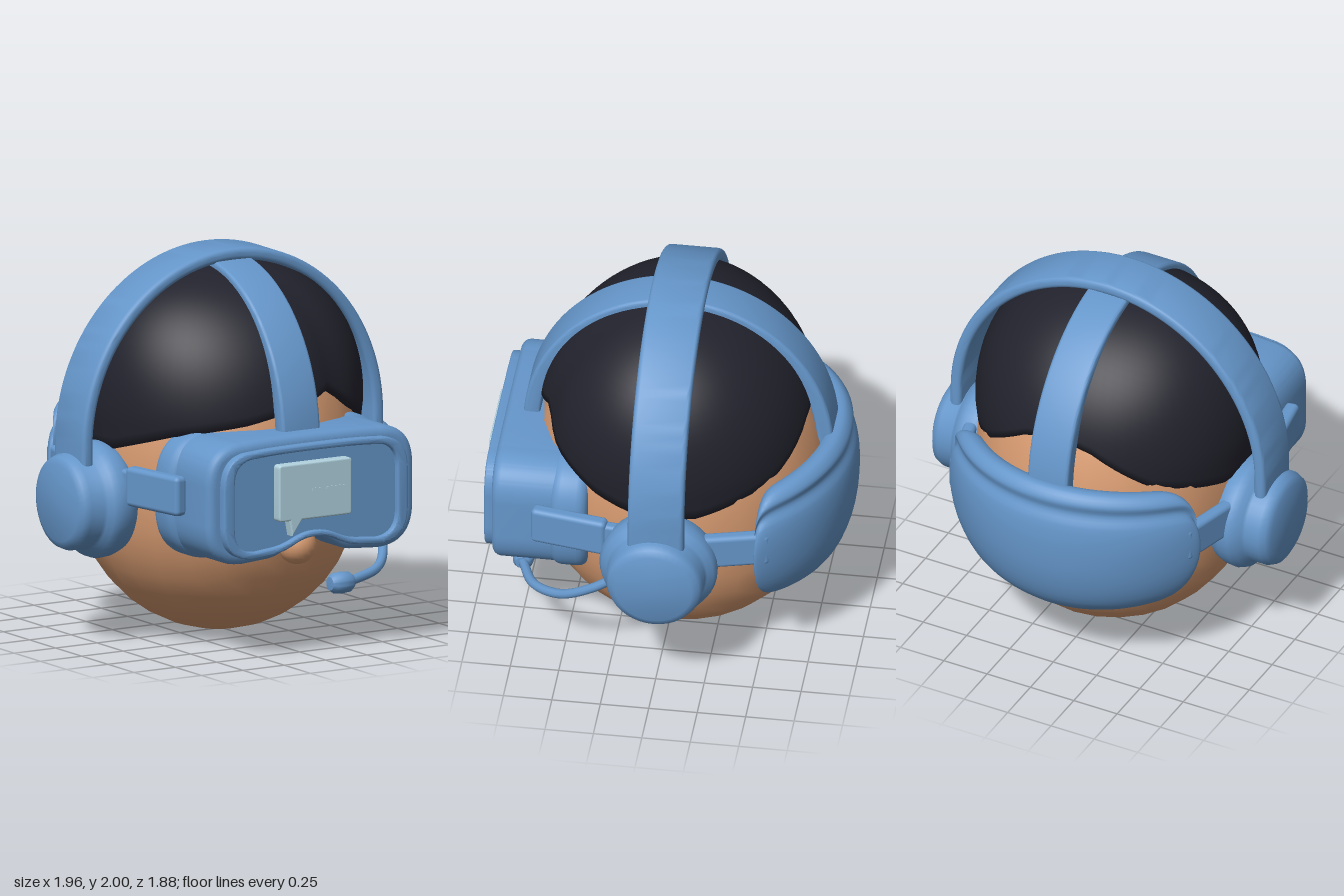
import * as THREE from 'three';
import { toCreasedNormals } from 'three/addons/utils/BufferGeometryUtils.js';
import { RoundedBoxGeometry } from 'three/addons/geometries/RoundedBoxGeometry.js';
import { ParametricGeometry } from 'three/addons/geometries/ParametricGeometry.js';

const makeMaterial = (name, color) => {
  const m = new THREE.MeshStandardMaterial({ color });
  m.name = name;
  return m;
};

// Bevelled slab whose outline stays at the shape's own size, from z0 to z1
function slab(shape, z0, z1, bevel, crease = 0.7) {
  const g = new THREE.ExtrudeGeometry(shape, {
    depth: z1 - z0 - 2 * bevel, bevelThickness: bevel, bevelSize: bevel,
    bevelOffset: -bevel, bevelSegments: 4, curveSegments: 32,
  });
  g.translate(0, 0, z0 + bevel);
  return toCreasedNormals(g, crease);
}

// Elliptic arch with straight legs, for the head bands
function archShape(rx, top, cy, foot, thick) {
  const s = new THREE.Shape();
  s.moveTo(rx, foot);
  s.lineTo(rx, cy);
  s.absellipse(0, cy, rx, top - cy, 0, Math.PI, false);
  s.lineTo(-rx, foot);
  s.lineTo(-rx + thick, foot);
  s.lineTo(-rx + thick, cy);
  s.absellipse(0, cy, rx - thick, top - cy - thick, Math.PI, 0, true);
  s.lineTo(rx - thick, foot);
  return s;
}

// Goggle outline: rounded box with a nose notch in the lower edge
function goggleOutline(s, w, top, bot, notch, r) {
  s.moveTo(0, top + 0.01);
  s.quadraticCurveTo(-w / 2, top + 0.01, -w + r, top);
  s.quadraticCurveTo(-w, top, -w, top - r);
  s.lineTo(-w, bot + r);
  s.quadraticCurveTo(-w, bot, -w + r, bot);
  s.lineTo(-0.26, bot + 0.01);
  s.bezierCurveTo(-0.14, bot + 0.02, -0.12, bot + notch, 0, bot + notch);
  s.bezierCurveTo(0.12, bot + notch, 0.14, bot + 0.02, 0.26, bot + 0.01);
  s.lineTo(w - r, bot);
  s.quadraticCurveTo(w, bot, w, bot + r);
  s.lineTo(w, top - r);
  s.quadraticCurveTo(w, top, w - r, top);
  s.quadraticCurveTo(w / 2, top + 0.01, 0, top + 0.01);
  return s;
}

// Head: round below the middle, taller and a little fuller above it
function headGeometry() {
  const g = new THREE.SphereGeometry(1, 24, 18);
  const p = g.attributes.position;
  for (let i = 0; i < p.count; i++) {
    const y = p.getY(i);
    const full = y > 0 ? 1 + 0.045 * Math.sin(Math.PI * y) : 1;
    p.setXYZ(i, p.getX(i) * 0.72 * full, 0.74 + y * (y > 0 ? 1.13 : 0.735), p.getZ(i) * 0.75 * full - 0.04);
  }
  g.computeVertexNormals();
  return g;
}

// Height of the hairline by azimuth in degrees, from the front towards +x
const HAIRLINE = [[-180, 1.4], [-165, 1.34], [-140, 1.14], [-105, 1.02], [-80, 1.03], [-50, 1.13],
  [-20, 1.19], [0, 1.25], [20, 1.33], [38, 1.2], [60, 1.08], [80, 1.02], [105, 1.02],
  [140, 1.14], [165, 1.34], [180, 1.4]];
function hairline(deg) {
  for (let i = 1; i < HAIRLINE.length; i++) {
    const [a, ya] = HAIRLINE[i - 1], [b, yb] = HAIRLINE[i];
    if (deg <= b) return ya + (yb - ya) * (deg - a) / (b - a);
  }
  return 1.4;
}

function hairGeometry() {
  const g = new ParametricGeometry((u, v, p) => {
    const deg = -180 + 360 * u, phi = deg * Math.PI / 180;
    const edge = hairline(deg);
    // first row tucks in under the rim, the rest climbs to the crown
    const t = Math.max(0, (v * 25 - 1) / 24);
    const y = edge + (1.925 - edge) * Math.sin(t * Math.PI / 2);
    const h = Math.min(1, Math.max(0, (y - 1.2) / 0.725));
    // fuller towards the sides than front to back
    const round = (n) => Math.pow(Math.max(0, 1 - Math.pow(h, n)), 1 / n);
    let k = 1 - 0.15 * Math.max(0, 1.2 - y);
    k *= 1 - 0.03 * Math.exp(-(((deg - 24) / 8) ** 2));
    if (v < 0.02) k *= 0.88;
    p.set(0.745 * k * round(2.35) * Math.sin(phi), y, 0.715 * k * round(2.05) * Math.cos(phi) - 0.02);
  }, 72, 25);
  g.computeVertexNormals();
  return g;
}

// Curved pad: a closed section (radius, height) swept round the back of the head
function rearPadGeometry() {
  const section = new THREE.CatmullRomCurve3([
    [0.69, 1.17], [0.76, 1.19], [0.805, 1.14], [0.795, 1.08], [0.825, 1.01], [0.838, 0.85],
    [0.81, 0.62], [0.74, 0.46], [0.62, 0.37], [0.58, 0.45], [0.66, 0.8],
  ].map(([r, y]) => new THREE.Vector3(r, y, 0)), true, 'centripetal');
  const q = new THREE.Vector3();
  const g = new ParametricGeometry((u, v, p) => {
    const e = Math.sin((u - 0.5) * Math.PI);
    const k = Math.pow(Math.max(0, 1 - Math.pow(Math.abs(e), 22)), 0.25);
    section.getPoint(v % 1, q);
    const r = 0.81 + (q.x - 0.81) * k;
    const y = 0.78 + (q.y - 0.78) * k * (1 - 0.12 * e * e);
    // both ends finish on one plane across the head
    const th = e * Math.acos(0.4 / r);
    p.set(r * Math.sin(th), y, -0.1 - r * Math.cos(th));
  }, 56, 44);
  g.computeVertexNormals();
  return g;
}

// Part lathed round the x axis from (radius, x) points
function latheX(points) {
  const g = new THREE.LatheGeometry(points.map(([r, h]) => new THREE.Vector2(r, h)), 40);
  g.rotateZ(-Math.PI / 2);
  return toCreasedNormals(g, 0.8);
}

export function createModel() {
  const model = new THREE.Group();
  model.name = 'headWithHeadset';
  const blue = makeMaterial('headsetBlue', 0x6596ca);
  const skin = makeMaterial('skin', 0xd69a70);
  const dark = makeMaterial('hairDark', 0x22222d);
  const pale = makeMaterial('bubblePale', 0xb2d3e0);

  const add = (name, geometry, material, x = 0, y = 0, z = 0) => {
    const m = new THREE.Mesh(geometry, material);
    m.name = name;
    m.position.set(x, y, z);
    model.add(m);
    return m;
  };

  // Head
  add('head', headGeometry(), skin);
  add('nose', new THREE.SphereGeometry(0.1, 20, 14), skin, 0, 0.56, 0.725);
  add('hair', hairGeometry(), dark);

  // Bands over the head
  add('sideBand', slab(archShape(0.91, 2.0, 1.05, 0.85, 0.065), -0.165, 0.125, 0.025), blue);
  const strap = add('frontBackStrap', slab(archShape(0.8, 1.955, 1.1, 1.0, 0.085), -0.115, 0.115, 0.018), blue, 0, 0, -0.025);
  strap.rotation.y = Math.PI / 2;

  // Visor
  const outline = (...a) => goggleOutline(new THREE.Shape(), ...a);
  add('visorFlange', slab(outline(0.66, 1.17, 0.5, 0.1, 0.28), 0.37, 0.57, 0.06), blue);
  add('visorBody', slab(outline(0.625, 1.155, 0.52, 0.1, 0.22), 0.45, 0.87, 0.045), blue);
  const rim = outline(0.555, 1.11, 0.555, 0.08, 0.18);
  rim.holes.push(goggleOutline(new THREE.Path(), 0.49, 1.075, 0.59, 0.075, 0.13));
  add('visorRim', slab(rim, 0.84, 0.915, 0.012), blue);
  add('visorScreen', new THREE.ShapeGeometry(outline(0.51, 1.09, 0.575, 0.075, 0.14), 32), blue, 0, 0, 0.885);

  // Speech bubble on the screen, with two raised dashes
  const b = new THREE.Shape();
  b.moveTo(-0.22, 1.03);
  b.quadraticCurveTo(-0.24, 1.03, -0.24, 1.01);
  b.lineTo(-0.24, 0.76);
  b.quadraticCurveTo(-0.24, 0.735, -0.22, 0.735);
  b.lineTo(-0.175, 0.735);
  b.lineTo(-0.16, 0.655);
  b.lineTo(-0.1, 0.735);
  b.lineTo(0.18, 0.735);
  b.quadraticCurveTo(0.2, 0.735, 0.2, 0.76);
  b.lineTo(0.2, 1.01);
  b.quadraticCurveTo(0.2, 1.03, 0.18, 1.03);
  add('speechBubble', slab(b, 0.875, 0.938, 0.01, 0.15), pale);
  for (const [x, w] of [[0.095, 0.11], [-0.015, 0.055]])
    add('bubbleDash', new THREE.BoxGeometry(w, 0.014, 0.008), pale, x, 0.888, 0.938);

  // Pad behind the head
  add('rearPad', rearPadGeometry(), blue);

  // Ear cups and the arms joining them to visor and pad, mirrored
  const cup = latheX([[0, 0.64], [0.24, 0.64], [0.28, 0.67], [0.3, 0.72], [0.305, 0.775], [0.29, 0.815],
    [0.26, 0.835], [0.25, 0.85], [0.25, 0.925], [0.235, 0.96], [0.2, 0.978], [0, 0.98]]);
  for (const s of [1, -1]) {
    const ear = add(s > 0 ? 'leftEarCup' : 'rightEarCup', cup, blue, 0, 0.755, -0.018);
    if (s < 0) ear.rotation.y = Math.PI;
    const plate = add('frontArmPlate', new RoundedBoxGeometry(0.075, 0.205, 0.4, 4, 0.025), blue, s * 0.68, 0.865, 0.455);
    plate.rotation.y = -s * 0.17;
    const link = add('frontArmLink', new RoundedBoxGeometry(0.06, 0.16, 0.3, 3, 0.02), blue, s * 0.71, 0.865, 0.24);
    link.rotation.y = -s * 0.12;
    const back = add('rearArm', new RoundedBoxGeometry(0.07, 0.19, 0.42, 4, 0.025), blue, s * 0.71, 0.85, -0.37);
    back.rotation.y = s * 0.25;
  }

  // Microphone on its boom
  const boom = new THREE.CatmullRomCurve3([
    [0.75, 0.64, 0.2], [0.73, 0.54, 0.33], [0.66, 0.43, 0.5], [0.52, 0.37, 0.66], [0.3, 0.34, 0.75],
  ].map((p) => new THREE.Vector3(...p)));
  add('microphoneBoom', new THREE.TubeGeometry(boom, 32, 0.025, 10), blue);
  add('microphone', latheX([[0, -0.07], [0.035, -0.067], [0.052, -0.045], [0.056, 0],
    [0.052, 0.045], [0.035, 0.067], [0, 0.07]]), blue, 0.25, 0.34, 0.75);

  return model;
}
